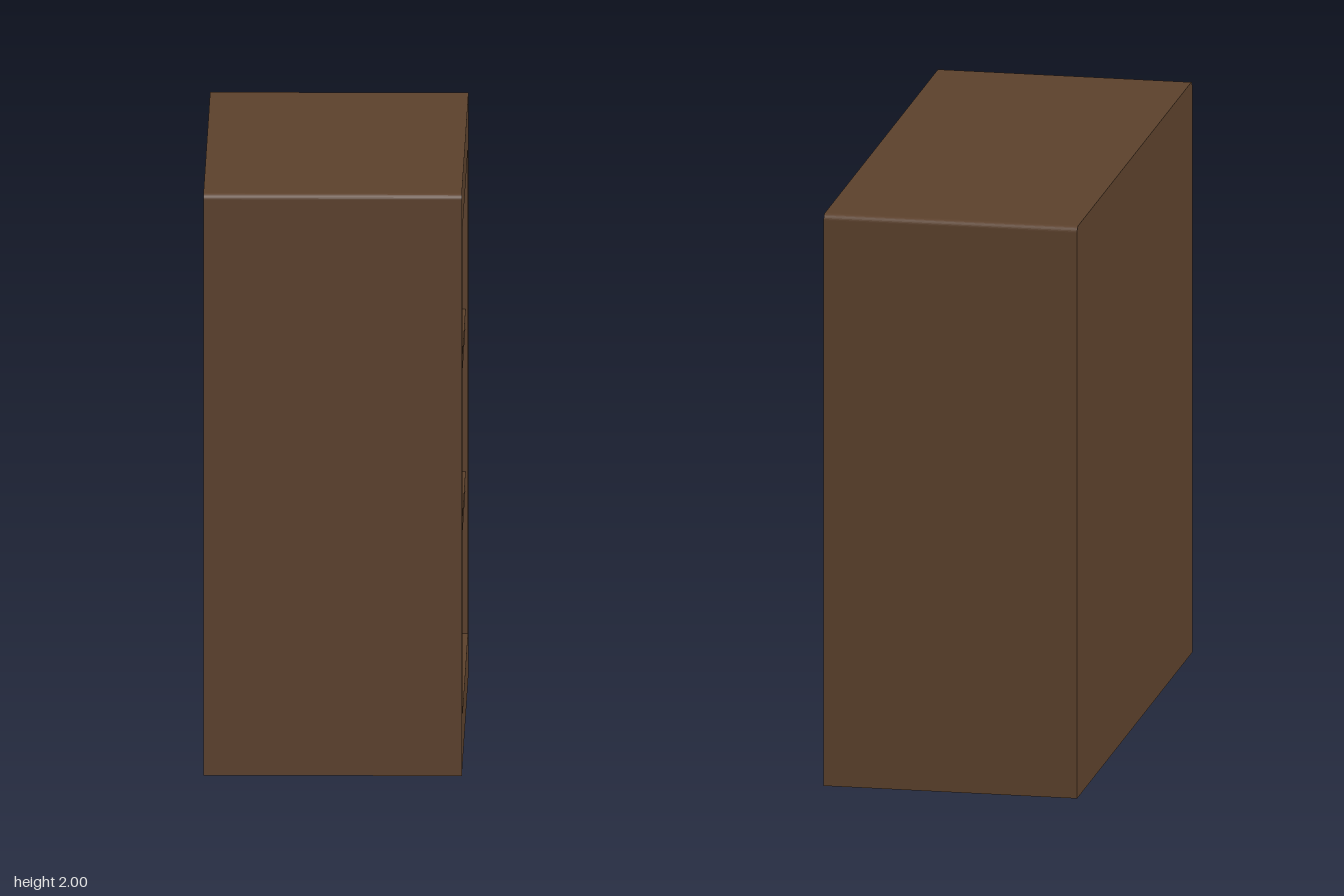
import * as THREE from 'three';

const paint = (color) => new THREE.MeshStandardMaterial({ color });

export function createModel() {
  const model = new THREE.Group();
  const wood = paint(0x5c412c);
  const backX = -0.44, frontX = 0.435, panelX = -0.39;

  // Box given by its limits on each axis
  function box(name, material, [x0, x1], [y0, y1], [z0, z1], parent = model) {
    const mesh = new THREE.Mesh(new THREE.BoxGeometry(x1 - x0, y1 - y0, z1 - z0), material);
    mesh.position.set((x0 + x1) / 2, (y0 + y1) / 2, (z0 + z1) / 2);
    mesh.name = name;
    parent.add(mesh);
  }

  // Cabinet outline: square at the base, slightly rounded top corners
  function outline() {
    const r = 0.02;
    const s = new THREE.Shape();
    s.moveTo(-1, 0);
    s.lineTo(1, 0);
    s.lineTo(1, 2 - r);
    s.absarc(1 - r, 2 - r, r, 0, Math.PI / 2);
    s.lineTo(-1 + r, 2);
    s.absarc(-1 + r, 2 - r, r, Math.PI / 2, Math.PI);
    s.closePath();
    return s;
  }

  // Extrude a side profile along x
  function slab(name, shape, x0, x1) {
    const geometry = new THREE.ExtrudeGeometry(shape, { depth: x1 - x0, bevelEnabled: false, curveSegments: 4 });
    geometry.rotateY(Math.PI / 2).translate(x0, 0, 0);
    const mesh = new THREE.Mesh(geometry, wood);
    mesh.name = name;
    model.add(mesh);
  }

  // Frame with its opening, closed by a solid back
  const frame = outline();
  const opening = new THREE.Path();
  opening.moveTo(-0.84, 0.165);
  opening.lineTo(-0.84, 1.84);
  opening.lineTo(0.84, 1.84);
  opening.lineTo(0.84, 0.165);
  opening.closePath();
  frame.holes.push(opening);
  slab('frame', frame, backX + 0.03, frontX);
  slab('back', outline(), backX, backX + 0.03);

  // Pale lining inside the back
  box('backLining', paint(0x8f8c76), [backX + 0.03, panelX], [0.165, 1.84], [-0.84, 0.84]);

  // Shelves
  for (const y of [0.672, 1.23]) {
    box('shelf', wood, [panelX, frontX - 0.008], [y, y + 0.05], [-0.84, 0.84]);
  }

  // Rows of five books: colour, shelf height, front end of the row
  const rows = [
    ['lowerBooks', 0x745870, 0.165, 0.493],
    ['middleBooks', 0x46486a, 0.722, 0.335],
    ['upperBooks', 0x526a58, 1.28, 0.73],
  ];
  const pitch = 0.1992;
  for (const [name, color, y, zStart] of rows) {
    const row = new THREE.Group();
    row.name = name;
    const material = paint(color);
    for (let i = 0; i < 5; i++) {
      const z = zStart - i * pitch;
      box('book', material, [-0.32, 0.395], [y, y + 0.474], [z - pitch + 0.002, z], row);
    }
    model.add(row);
  }
  return model;
}
